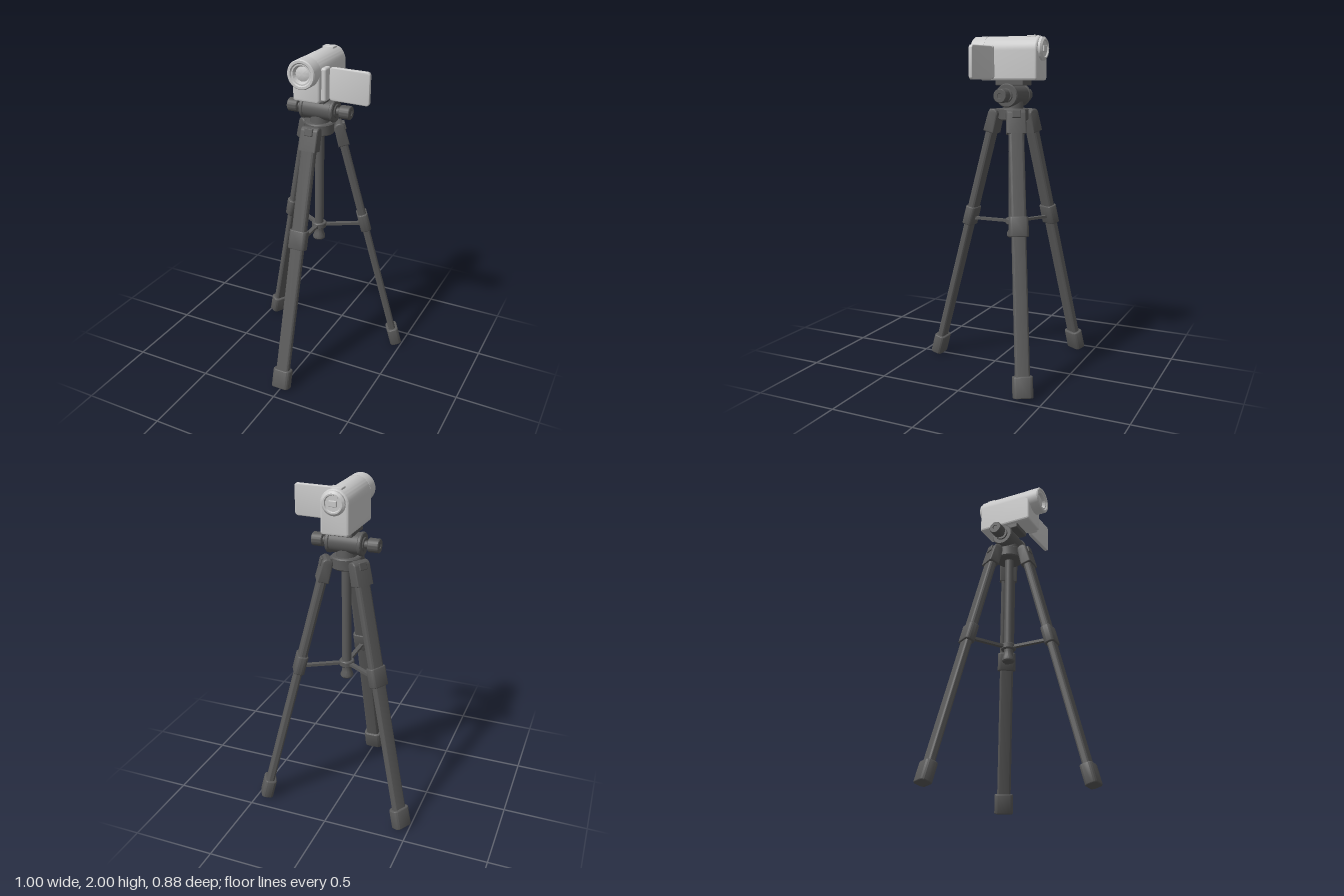
import * as THREE from 'three';
import { toCreasedNormals } from 'three/addons/utils/BufferGeometryUtils.js';
import { RoundedBoxGeometry } from 'three/addons/geometries/RoundedBoxGeometry.js';

const AXIS_Z = -0.12; // tripod centre line
const light = new THREE.MeshStandardMaterial({ color: 0xcccccc });
const dark = new THREE.MeshStandardMaterial({ color: 0x5a5a5a });

function add(parent, name, geometry, material, x = 0, y = 0, z = 0) {
  const mesh = new THREE.Mesh(geometry, material);
  mesh.name = name;
  mesh.position.set(x, y, z);
  parent.add(mesh);
  return mesh;
}

// Turned part around y from [radius, height] pairs, listed bottom to top
function turned(points, segments = 40) {
  const g = new THREE.LatheGeometry(points.map(p => new THREE.Vector2(p[0], p[1])), segments);
  return toCreasedNormals(g, 0.6);
}

// Extrusion centred on z, total depth including its bevel
function extruded(shape, depth, bevel) {
  const g = new THREE.ExtrudeGeometry(shape, {
    depth: depth - 2 * bevel, bevelEnabled: bevel > 0, bevelSize: bevel,
    bevelThickness: bevel, bevelOffset: -bevel, bevelSegments: 3, curveSegments: 16
  });
  g.translate(0, 0, -depth / 2 + bevel);
  return toCreasedNormals(g, 0.6);
}

function roundedRect(w, h, r) {
  const s = new THREE.Shape();
  const x = w / 2, y = h / 2;
  s.moveTo(-x + r, -y);
  s.lineTo(x - r, -y); s.absarc(x - r, -y + r, r, -Math.PI / 2, 0);
  s.lineTo(x, y - r); s.absarc(x - r, y - r, r, 0, Math.PI / 2);
  s.lineTo(-x + r, y); s.absarc(-x + r, y - r, r, Math.PI / 2, Math.PI);
  s.lineTo(-x, -y + r); s.absarc(-x + r, -y + r, r, Math.PI, Math.PI * 1.5);
  return s;
}

// Upright rounded bar between two heights
function bar(w, d, bottom, top, radius, bevel) {
  const g = extruded(roundedRect(w, d, radius), top - bottom, bevel);
  g.rotateX(-Math.PI / 2);
  g.translate(0, (top + bottom) / 2, 0);
  return g;
}

// Leg hanging from its pivot, splayed towards local +z
function createLeg() {
  const leg = new THREE.Group();
  leg.position.set(0, 1.545, 0.115);
  leg.rotation.x = -Math.atan(0.41 / 1.545);
  add(leg, 'upperLegTube', bar(0.09, 0.05, -0.66, -0.04, 0.018, 0), dark);
  add(leg, 'lowerLegTube', bar(0.084, 0.044, -1.55, -0.62, 0.016, 0), dark);
  add(leg, 'legCollar', bar(0.113, 0.066, -0.695, -0.58, 0.024, 0.005), dark);
  add(leg, 'foot', bar(0.115, 0.074, -1.588, -1.468, 0.026, 0.006), dark);

  // Cap rounded over the hinge
  const cap = new THREE.Shape();
  cap.moveTo(-0.034, -0.105);
  cap.lineTo(0.034, -0.105);
  cap.lineTo(0.031, 0.006);
  cap.absarc(0, 0.006, 0.031, 0, Math.PI);
  cap.closePath();
  const capGeometry = extruded(cap, 0.112, 0.008);
  capGeometry.rotateY(-Math.PI / 2);
  add(leg, 'legCap', capGeometry, dark);
  add(leg, 'hingeLug', new RoundedBoxGeometry(0.052, 0.045, 0.03, 2, 0.005), dark, 0, 0.005, 0.024);
  return leg;
}

function createTripod() {
  const tripod = new THREE.Group();
  tripod.name = 'tripod';
  tripod.position.z = AXIS_Z;

  // Three legs with their brackets and spreader arms
  for (let i = 0; i < 3; i++) {
    const side = new THREE.Group();
    side.name = ['frontLeg', 'leftLeg', 'rightLeg'][i];
    side.rotation.y = i * Math.PI * 2 / 3;
    side.add(createLeg());
    add(side, 'legBracket', new THREE.BoxGeometry(0.055, 0.05, 0.09), dark, 0, 1.55, 0.075);
    add(side, 'spreaderArm', new THREE.BoxGeometry(0.026, 0.016, 0.24), dark, 0, 0.91, 0.15);
    tripod.add(side);
  }

  // Centre column, its collar and end knob
  add(tripod, 'centreColumn', new THREE.CylinderGeometry(0.028, 0.028, 0.69, 32), dark, 0, 1.205, 0);
  add(tripod, 'spreaderHub', turned([[0, 0.892], [0.041, 0.892], [0.045, 0.897],
    [0.045, 0.923], [0.041, 0.928], [0, 0.928]]), dark);
  add(tripod, 'columnKnob', turned([[0, 0.815], [0.033, 0.815], [0.038, 0.822], [0.038, 0.835],
    [0.029, 0.856], [0.028, 0.875], [0, 0.875]]), dark);
  add(tripod, 'legPlatform', turned([[0, 1.515], [0.08, 1.515], [0.087, 1.522],
    [0.087, 1.578], [0.08, 1.585], [0, 1.585]]), dark);
  add(tripod, 'headNeck', new THREE.CylinderGeometry(0.055, 0.06, 0.05, 32), dark, 0, 1.6, 0);

  // Tilt head lying along x, with a clamp knob at each end
  const barrel = add(tripod, 'tiltBarrel', new THREE.CylinderGeometry(0.063, 0.063, 0.18, 40), dark, 0, 1.66, 0);
  barrel.rotation.z = Math.PI / 2;
  for (const s of [-1, 1]) {
    const end = new THREE.Group();
    end.name = s > 0 ? 'leftTiltKnob' : 'rightTiltKnob';
    end.position.y = 1.66;
    end.rotation.z = -s * Math.PI / 2;
    add(end, 'endFlange', turned([[0, 0.084], [0.063, 0.084], [0.068, 0.089],
      [0.068, 0.102], [0.063, 0.107], [0.04, 0.107], [0.036, 0.113], [0, 0.113]]), dark);
    add(end, 'knobShaft', new THREE.CylinderGeometry(0.022, 0.022, 0.05, 24), dark, 0, 0.125, 0);
    add(end, 'knob', turned([[0, 0.135], [0.036, 0.135], [0.04, 0.139], [0.04, 0.196],
      [0.036, 0.2], [0.016, 0.2], [0.014, 0.196], [0, 0.196]]), dark);
    tripod.add(end);
  }
  add(tripod, 'mountingPlate', new RoundedBoxGeometry(0.135, 0.036, 0.175, 2, 0.006), dark, 0, 1.734, 0);
  return tripod;
}

function createCamera() {
  const camera = new THREE.Group();
  camera.name = 'videoCamera';
  const cy = 1.915, r = 0.083, bottom = 1.745, c = 0.016;

  // Body with a round top and flat sides
  const arch = new THREE.Shape();
  arch.moveTo(-r + c, bottom);
  arch.lineTo(r - c, bottom);
  arch.absarc(r - c, bottom + c, c, -Math.PI / 2, 0);
  arch.lineTo(r, cy);
  arch.absarc(0, cy, r, 0, Math.PI);
  arch.lineTo(-r, bottom + c);
  arch.absarc(-r + c, bottom + c, c, Math.PI, Math.PI * 1.5);
  add(camera, 'cameraBody', extruded(arch, 0.355, 0.013), light, 0, 0, -0.1175);

  // Lens barrel with recessed glass
  const lens = add(camera, 'lensBarrel', turned([[0, 0], [0.084, 0], [0.084, 0.079], [0.079, 0.085],
    [0.066, 0.085], [0.06, 0.078], [0.052, 0.078], [0.046, 0.066], [0.042, 0.058],
    [0.03, 0.063], [0.015, 0.066], [0, 0.067]], 48), light, 0, cy, 0.038);
  lens.rotation.x = Math.PI / 2;

  // Rear eyepiece with its window
  const eyepiece = add(camera, 'eyepiece', turned([[0, 0], [0.067, 0], [0.067, 0.018], [0.055, 0.028],
    [0.047, 0.028], [0.043, 0.02], [0, 0.02]]), light, 0, 1.925, -0.29);
  eyepiece.rotation.x = -Math.PI / 2;
  add(camera, 'eyepieceWindow', new RoundedBoxGeometry(0.046, 0.034, 0.012, 2, 0.004), light, 0, 1.925, -0.312);
  add(camera, 'zoomButton', new RoundedBoxGeometry(0.07, 0.02, 0.055, 2, 0.004), light, 0, 1.991, -0.242);

  // Fold-out screen, hinged on the left side
  add(camera, 'screenHinge', new RoundedBoxGeometry(0.034, 0.19, 0.07, 4, 0.013), light, 0.094, 1.848, 0);
  add(camera, 'hingePin', new THREE.CylinderGeometry(0.011, 0.011, 0.16, 20), light, 0.104, 1.848, -0.025);
  const screen = new THREE.Group();
  screen.name = 'screen';
  screen.position.set(0.232, 1.846, -0.02);
  screen.rotation.y = -0.04;
  add(screen, 'screenPanel', extruded(roundedRect(0.246, 0.19, 0.02), 0.024, 0.007), light);
  add(screen, 'screenArm', new RoundedBoxGeometry(0.04, 0.15, 0.018, 2, 0.005), light, -0.122, 0, 0);
  camera.add(screen);
  return camera;
}

export function createModel() {
  const model = new THREE.Group();
  model.name = 'cameraOnTripod';
  model.add(createTripod(), createCamera());
  return model;
}
